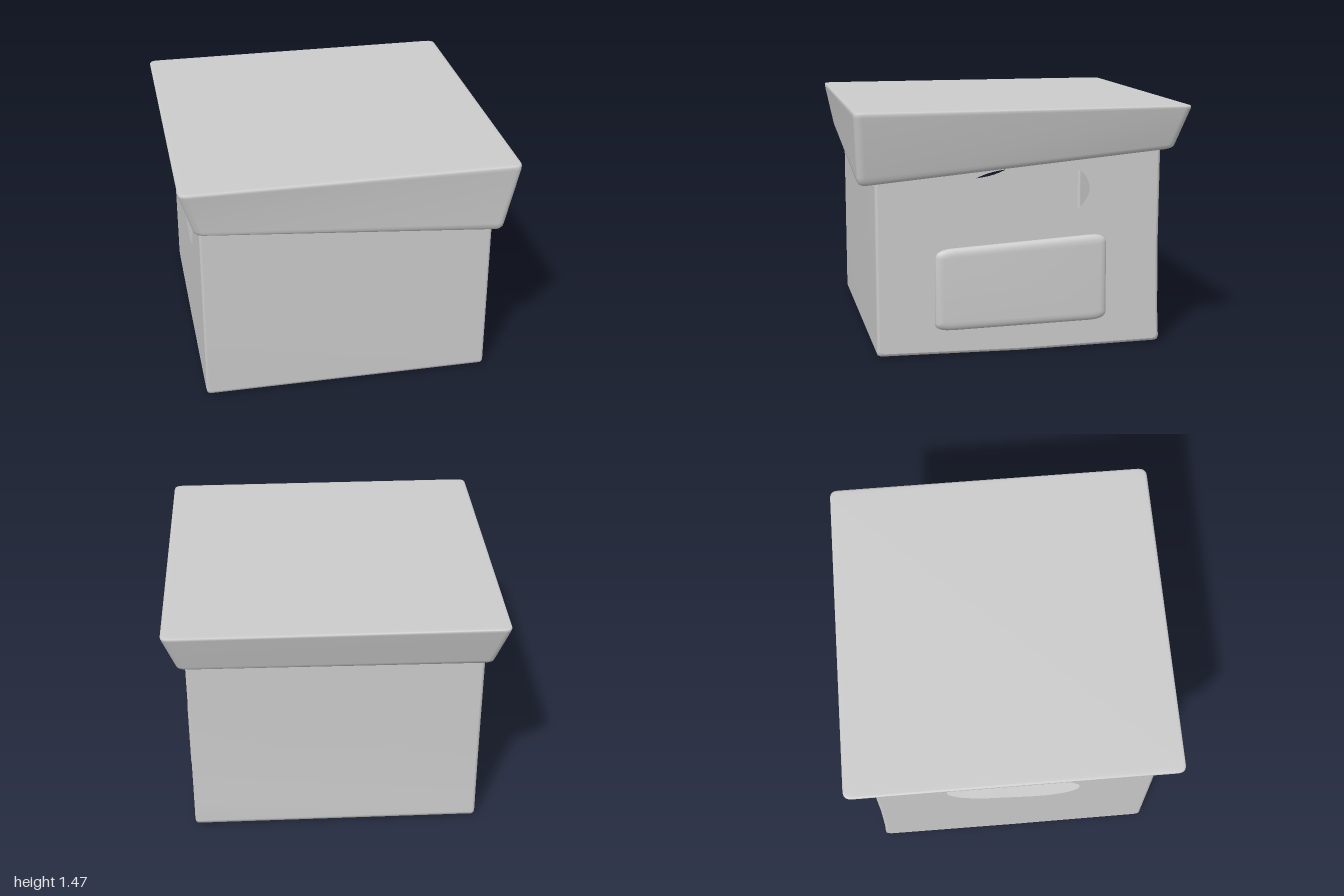
import * as THREE from 'three';
import { toCreasedNormals } from 'three/addons/utils/BufferGeometryUtils.js';

const grey = new THREE.MeshStandardMaterial({ color: 0xcccccc });
const thinGrey = new THREE.MeshStandardMaterial({ color: 0xcccccc, side: THREE.DoubleSide });
const V = (x, y, z = 0) => new THREE.Vector3(x, y, z);

function part(name, geometry, material = grey) {
  const mesh = new THREE.Mesh(geometry, material);
  mesh.name = name;
  return mesh;
}

// Skin a list of equally long rings of points
function loft(rings, closed) {
  const n = rings[0].length;
  const index = [];
  for (let j = 0; j < rings.length - 1; j++) {
    for (let i = 0; i < (closed ? n : n - 1); i++) {
      const a = j * n + i, b = j * n + (i + 1) % n;
      index.push(a, b, b + n, a, b + n, a + n);
    }
  }
  const geometry = new THREE.BufferGeometry().setFromPoints(rings.flat());
  geometry.setIndex(index);
  geometry.computeVertexNormals();
  return geometry;
}

// Four corners with each one rounded off; r is a fraction of the edge length
function roundedQuad(corners, r, steps = 5) {
  return corners.flatMap((c, i) => {
    const before = c.clone().lerp(corners[(i + 3) % 4], r);
    const after = c.clone().lerp(corners[(i + 1) % 4], r);
    return new THREE.QuadraticBezierCurve3(before, c, after).getPoints(steps);
  });
}

// Box profile as [z, y], from front top under the floor to back top
const profile = [
  [0.875, 1.25], [0.875, 0.6], [0.875, 0.035], [0.869, 0.018], [0.85, 0.01], [0, 0],
  [-0.835, 0.012], [-0.853, 0.02], [-0.858, 0.04], [-0.85, 0.2], [-0.842, 0.6], [-0.845, 1.25],
];
const insetProfile = (k) => profile.map(([z, y]) => [z - Math.sign(z) * k, y < 0.1 ? y + k : y]);

// Grip opening as [z, y]
const grip = [
  [0.415, 0.9], [0.395, 0.82], [0.3, 0.757], [0.17, 0.735], [0, 0.755], [-0.2, 0.787],
  [-0.33, 0.85], [-0.4, 0.94], [-0.4, 1.01], [-0.35, 1.08], [-0.25, 1.115], [-0.1, 1.125],
  [0.05, 1.11], [0.22, 1.08], [0.34, 1.02], [0.4, 0.95],
];

// Side panel with the grip cut out, facing side * x
function sidePanel(side) {
  const flip = ([z, y]) => V(-side * z, y);
  const shape = new THREE.Shape(insetProfile(0.018).map(flip));
  const curve = new THREE.CatmullRomCurve3(grip.map(flip), true);
  shape.holes.push(new THREE.Path(curve.getPoints(64).slice(0, -1)));
  return new THREE.ShapeGeometry(shape).rotateY(side * Math.PI / 2);
}

function createLid() {
  const bottom = [V(-0.91, 1.165, 0.94), V(0.91, 1.03, 0.975), V(0.915, 1.2, -0.915), V(-0.915, 1.185, -0.915)];
  const top = [V(-1, 1.465, 1), V(1, 1.465, 1), V(1, 1.465, -1), V(-1, 1.465, -1)];
  // Each ring: height fraction, pull towards the centre
  const levels = [
    [0, 1], [0, 0.06], [0, 0.025], [0.02, 0.01], [0.06, 0.001], [0.12, 0],
    [0.93, 0], [0.97, 0.002], [0.993, 0.007], [1, 0.018], [1, 0.05], [1, 1],
  ];
  const rings = levels.map(([t, pull]) => {
    const corners = bottom.map((c, i) => c.clone().lerp(top[i], t));
    const centre = corners.reduce((sum, c) => sum.add(c), V(0, 0)).multiplyScalar(0.25);
    return roundedQuad(corners.map((c) => c.lerp(centre, pull)), 0.025);
  });
  return part('lid', loft(rings, true));
}

export function createModel() {
  const model = new THREE.Group();
  model.name = 'storageBox';

  // Front, floor and back in one bent sheet with softened side edges
  const box = new THREE.Group();
  box.name = 'box';
  const sections = [
    [-0.88, 0.018], [-0.875, 0.006], [-0.862, 0], [0.857, 0], [0.87, 0.006], [0.875, 0.018],
  ];
  const sheet = sections.map(([x, k]) => insetProfile(k).map(([z, y]) => V(x, y, z)));
  box.add(part('frontFloorBack', loft(sheet, false), thinGrey));

  // Side panels with grip openings
  const left = part('leftPanel', sidePanel(1), thinGrey);
  left.position.x = 0.875;
  const right = part('rightPanel', sidePanel(-1), thinGrey);
  right.position.x = -0.88;
  box.add(left, right);

  // Raised label plate below one grip
  const outline = roundedQuad([V(-0.53, 0.15), V(0.515, 0.17), V(0.51, 0.7), V(-0.525, 0.64)], 0.1);
  const plate = new THREE.ExtrudeGeometry(new THREE.Shape(outline), {
    depth: 0.004, bevelThickness: 0.028, bevelSize: 0.05, bevelOffset: -0.05, bevelSegments: 5,
  }).rotateY(Math.PI / 2);
  const label = part('labelPlate', toCreasedNormals(plate, 0.8));
  label.position.x = 0.873;
  box.add(label);

  model.add(box, createLid());
  return model;
}
